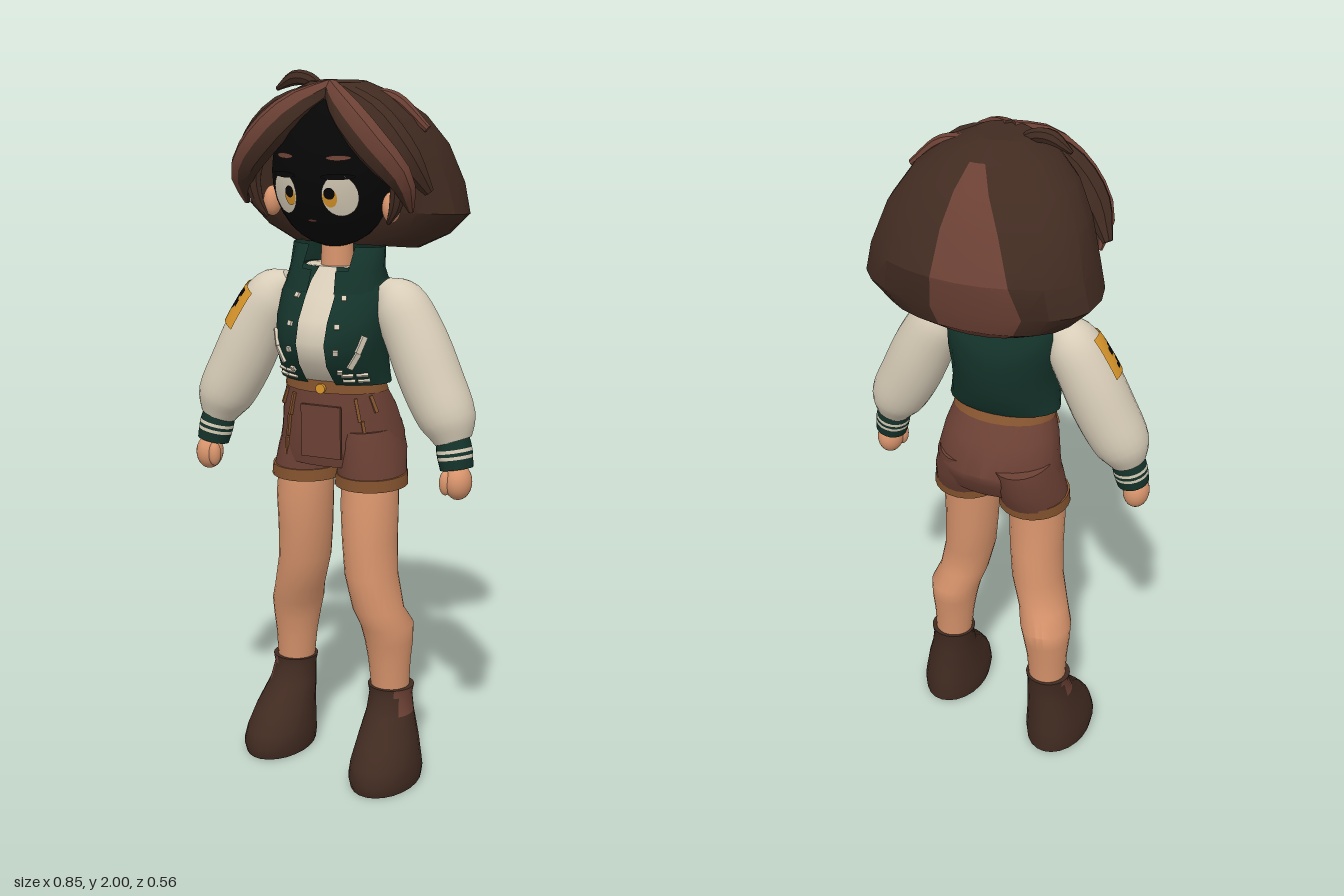
import * as THREE from 'three';
import { toCreasedNormals } from 'three/addons/utils/BufferGeometryUtils.js';

const paint = (name, color, side = THREE.FrontSide) => {
  const m = new THREE.MeshStandardMaterial({ color, side });
  m.name = name;
  return m;
};
const V = (x, y, z) => new THREE.Vector3(x, y, z);

// Skin a list of rings; pick(i, j) gives the material index of a cell, or -1 for a gap
function loft(name, rings, mats, { pick = () => 0, cap = true, crease = 0.8 } = {}) {
  const list = [].concat(mats), n = rings[0].length, pts = rings.flat();
  const faces = list.map(() => []);
  for (let i = 0; i < rings.length - 1; i++) for (let j = 0; j < n; j++) {
    const k = pick(i, j);
    if (k < 0) continue;
    const a = i * n + j, b = i * n + (j + 1) % n;
    faces[k].push(a, a + n, b, b, a + n, b + n);
  }
  if (cap) for (const end of [0, rings.length - 1]) {
    const c = pts.length;
    pts.push(rings[end].reduce((s, p) => s.add(p), V(0, 0, 0)).divideScalar(n));
    for (let j = 0; j < n; j++) {
      const a = end * n + j, b = end * n + (j + 1) % n;
      faces[0].push(c, ...(end ? [b, a] : [a, b]));
    }
  }
  let geo = new THREE.BufferGeometry().setFromPoints(pts);
  geo.setIndex(faces.flat());
  let start = 0;
  faces.forEach((f, k) => { geo.addGroup(start, f.length, k); start += f.length; });
  geo = toCreasedNormals(geo, crease);
  const mesh = new THREE.Mesh(geo, list.length > 1 ? list : list[0]);
  mesh.name = name;
  return mesh;
}

// Horizontal rings from levels [y, centreX, radiusX, zFront, zBack, tilt]; power below 1 squares them off
const stackRings = (levels, power = 1) => levels.map(([y, cx, rx, zf, zb, tilt = 0]) =>
  Array.from({ length: 24 }, (_, j) => {
    const a = j / 24 * Math.PI * 2, s = Math.sin(a);
    const z = (zf + zb) / 2 + (zf - zb) / 2 * Math.sign(s) * Math.abs(s) ** power;
    return V(cx + rx * Math.cos(a), y + tilt * z, z);
  }));
const stack = (name, levels, mats, opts) => loft(name, stackRings(levels), mats, opts);

// Rings along a curve through [x, y, z, radiusN, radiusB]
function tubeRings(pts, { segs = 14, sides = 16, hint = V(1, 0, 0), t0 = 0, t1 = 1, grow = 0 } = {}) {
  const path = new THREE.CatmullRomCurve3(pts.map(p => V(p[0], p[1], p[2])));
  const size = new THREE.CatmullRomCurve3(pts.map(p => V(p[3], p[4] ?? p[3], p[1])));
  return Array.from({ length: segs + 1 }, (_, i) => {
    const t = t0 + (t1 - t0) * i / segs, c = path.getPoint(t), T = path.getTangent(t), r = size.getPoint(t);
    const N = hint.clone().addScaledVector(T, -hint.dot(T)).normalize(), B = N.clone().cross(T);
    return Array.from({ length: sides }, (_, j) => {
      const a = j / sides * Math.PI * 2;
      return c.clone().addScaledVector(N, (r.x + grow) * Math.cos(a)).addScaledVector(B, (r.y + grow) * Math.sin(a));
    });
  });
}
const tube = (name, pts, mats, opts = {}) => loft(name, tubeRings(pts, opts), mats, opts);

function ball(name, mat, [x, y, z], [rx, ry, rz]) {
  const m = new THREE.Mesh(new THREE.SphereGeometry(1, 24, 16), mat);
  m.position.set(x, y, z);
  m.scale.set(rx, ry, rz);
  m.name = name;
  return m;
}

// Thin plate lying on the front of a stack of levels
function plate(name, mat, levels, x, y, w, h, rot = 0) {
  const at = yy => {
    let i = 0;
    while (i < levels.length - 2 && levels[i + 1][0] < yy) i++;
    const f = (yy - levels[i][0]) / (levels[i + 1][0] - levels[i][0]);
    const [, cx, rx, zf, zb] = levels[i].map((v, k) => v + (levels[i + 1][k] - v) * f);
    const rz = (zf - zb) / 2, u = (x - cx) / rx, s = Math.sqrt(Math.max(0, 1 - u * u));
    return { z: (zf + zb) / 2 + rz * s, yaw: Math.atan2(u / rx, s / rz) };
  };
  const p = at(y), slope = (at(y + 0.01).z - at(y - 0.01).z) / 0.02;
  const m = new THREE.Mesh(new THREE.BoxGeometry(w, h, 0.009), mat);
  m.position.set(x, y, p.z + 0.002);
  m.rotation.set(Math.atan(slope), p.yaw, rot, 'YXZ');
  m.name = name;
  return m;
}

export function createModel() {
  const skin = paint('skin', 0xd8946c), black = paint('black', 0x060606, THREE.DoubleSide);
  const dark = paint('darkBrown', 0x412b21), russet = paint('russet', 0x6b4034);
  const green = paint('green', 0x14332a, THREE.DoubleSide), cream = paint('cream', 0xd8cdb8);
  const gold = paint('gold', 0xd9962b, THREE.DoubleSide), tan = paint('tan', 0x85542f);
  const g = new THREE.Group();
  g.name = 'figure';

  // Legs and boots: the left foot stands ahead of the right
  const legLevels = [[0.24, 0.175, 0.054, 0.115, 0.008], [0.34, 0.172, 0.061, 0.125, 0], [0.4, 0.17, 0.069, 0.137, -0.012],
    [0.45, 0.165, 0.075, 0.15, -0.018], [0.5, 0.146, 0.073, 0.163, 0.008], [0.6, 0.122, 0.075, 0.166, -0.004],
    [0.7, 0.114, 0.078, 0.162, -0.014], [0.8, 0.11, 0.082, 0.155, -0.02], [0.89, 0.106, 0.08, 0.14, -0.03]];
  const bootLevels = [[0, 0.193, 0.093, 0.275, -0.01], [0.03, 0.193, 0.098, 0.284, -0.012], [0.07, 0.191, 0.093, 0.27, -0.01],
    [0.12, 0.188, 0.084, 0.225, -0.005], [0.19, 0.18, 0.068, 0.148, 0], [0.24, 0.177, 0.062, 0.126, 0], [0.265, 0.177, 0.067, 0.128, -0.004]];
  const cuffLevels = [[0.856, 0.106, 0.103, 0.156, -0.066], [0.89, 0.106, 0.1, 0.156, -0.07]];
  const shortLegLevels = [[0.87, 0.106, 0.098, 0.152, -0.064], [0.95, 0.099, 0.092, 0.15, -0.105], [1.02, 0.085, 0.085, 0.14, -0.115]];
  for (const s of [1, -1]) {
    const side = s > 0 ? 'left' : 'right';
    const place = levels => levels.map(([y, cx, rx, zf, zb]) => {
      const dz = s > 0 ? 0 : -0.1 + 0.07 * THREE.MathUtils.clamp((y - 0.45) / 0.4, 0, 1);
      return [y, cx * s, rx, zf + dz, zb + dz];
    });
    g.add(stack(side + 'Leg', place(legLevels), skin));
    g.add(stack(side + 'Boot', place(bootLevels), [dark, russet], {
      pick: (i, j) => {
        const k = Math.abs((s > 0 ? (j + 12) % 24 : j) - 11.5 - s);
        return +((i === 5 && k < 3) || (i === 4 && k < 2));
      } }));
    g.add(stack(side + 'ShortsCuff', place(cuffLevels), tan));
    g.add(stack(side + 'ShortsLeg', place(shortLegLevels), russet));
  }

  // Shorts with waistband, button and side trim
  const shorts = [[0.915, 0, 0.186, 0.14, -0.1], [0.97, 0, 0.184, 0.151, -0.135], [1.0, 0, 0.18, 0.152, -0.143],
    [1.08, 0, 0.166, 0.154, -0.095], [1.16, 0, 0.14, 0.145, -0.03]];
  g.add(stack('shorts', shorts, russet));
  g.add(stack('waistband', [[1.13, 0, 0.152, 0.154, -0.055], [1.165, 0, 0.144, 0.152, -0.036]], tan));
  const button = new THREE.Mesh(new THREE.CylinderGeometry(0.014, 0.014, 0.012, 16).rotateX(Math.PI / 2), gold);
  button.position.set(0, 1.143, 0.156);
  button.name = 'waistButton';
  g.add(button, plate('shortsFly', russet, shorts, 0, 1.02, 0.12, 0.15));
  for (const s of [1, -1]) {
    for (const [x, y] of [[0.1, 1.085], [0.116, 1.02], [0.126, 0.95]]) g.add(plate('shortsTrim', tan, shorts, s * x, y, 0.009, 0.066, s * 0.18));
    g.add(plate('beltLoop', tan, shorts, s * 0.135, 1.1, 0.01, 0.05, s * 0.3));
  }

  // Shirt, and the open jacket over it
  const jacket = [[1.155, 0, 0.164, 0.15, -0.045], [1.175, 0, 0.16, 0.172, -0.058], [1.22, 0, 0.157, 0.213, -0.075],
    [1.28, 0, 0.16, 0.233, -0.09], [1.34, 0, 0.165, 0.212, -0.097], [1.4, 0, 0.165, 0.165, -0.088],
    [1.44, 0, 0.15, 0.135, -0.06], [1.475, 0, 0.1, 0.11, -0.03]];
  const shirt = jacket.map(([y, cx, rx, zf, zb]) => [y, cx, rx - 0.012, zf - 0.008, zb + 0.012]);
  g.add(stack('shirt', shirt, cream));
  g.add(stack('jacket', jacket, green, { cap: false, pick: (i, j) => (j === 5 || j === 6 ? -1 : 0) }));
  g.add(stack('collar', [[1.41, 0, 0.155, 0.162, -0.082], [1.47, 0, 0.138, 0.14, -0.055], [1.53, 0, 0.138, 0.088, -0.025]], green,
    { cap: false, pick: (i, j) => (j > 4 - i && j < 7 + i ? -1 : 0) }));
  for (const s of [1, -1]) {
    for (const y of [1.4, 1.33, 1.26, 1.2]) g.add(plate('snap', cream, jacket, s * 0.07, y, 0.014, 0.014));
    for (const [x, y] of [[0.128, 1.28], [0.11, 1.235]]) g.add(plate('pocketEdge', cream, jacket, s * x, y, 0.016, 0.05, -s * 0.45));
    for (const x of [0.085, 0.12]) for (const y of [1.172, 1.19]) g.add(plate('hemStripe', cream, jacket, s * x, y, 0.034, 0.006));
  }

  // Arms: sleeve, striped cuff, hand
  for (const s of [1, -1]) {
    const side = s > 0 ? 'left' : 'right';
    const sleeve = [[0.14, 1.425, 0.05, 0.03], [0.185, 1.385, 0.053, 0.072], [0.235, 1.3, 0.057, 0.085],
      [0.295, 1.17, 0.065, 0.088], [0.345, 1.07, 0.073, 0.079], [0.364, 1.015, 0.078, 0.052]].map(([x, ...r]) => [x * s, ...r]);
    g.add(tube(side + 'Sleeve', sleeve, cream, { segs: 20, sides: 24 }));
    const cuff = [[0.359, 1.03, 0.077, 0.046], [0.369, 0.985, 0.082, 0.05], [0.378, 0.94, 0.087, 0.046]].map(([x, ...r]) => [x * s, ...r]);
    g.add(tube(side + 'Cuff', cuff, [green, cream], { segs: 10, sides: 20, pick: i => +(i === 4 || i === 6) }));
    g.add(ball(side + 'Hand', skin, [s * 0.386, 0.905, 0.095], [0.038, 0.05, 0.044]));
    g.add(ball(side + 'Thumb', skin, [s * 0.358, 0.905, 0.118], [0.018, 0.035, 0.02]));
    if (s < 0) {
      // Sleeve patch with a zigzag bolt: first column and width of each row
      const bolt = [[0, 0], [28, 2], [27, 3], [26, 3], [25, 5], [25, 5], [27, 2], [26, 2], [25, 2], [0, 0]];
      const patch = { segs: 10, sides: 48, t0: 0.25, t1: 0.46, grow: 0.004 };
      g.add(tube('sleevePatch', sleeve, [gold, black], { ...patch, cap: false,
        pick: (i, j) => (j < 22 || j > 32 ? -1 : +(j >= bolt[i][0] && j < bolt[i][0] + bolt[i][1])) }));
    }
  }

  // Head, neck and ears
  const neck = new THREE.Mesh(new THREE.CylinderGeometry(0.042, 0.05, 0.2, 20), skin);
  neck.position.set(0, 1.49, 0.045);
  neck.name = 'neck';
  g.add(neck, ball('face', black, [0, 1.735, 0.06], [0.172, 0.208, 0.172]));
  for (const s of [1, -1]) g.add(ball('ear', skin, [s * 0.178, 1.645, 0.085], [0.025, 0.042, 0.03]));

  // Face details laid on the curve of the face
  const decal = (name, mat, x, y, rx, ry, lift) => {
    const geo = new THREE.CircleGeometry(1, 24).scale(rx, ry, 1).translate(x, y, 0), p = geo.attributes.position;
    for (let i = 0; i < p.count; i++) {
      const u = p.getX(i) / 0.172, v = (p.getY(i) - 1.735) / 0.208;
      p.setZ(i, 0.06 + 0.172 * Math.sqrt(Math.max(0, 1 - u * u - v * v)) + lift);
    }
    geo.computeVertexNormals();
    const m = new THREE.Mesh(geo, mat);
    m.name = name;
    g.add(m);
  };
  for (const s of [1, -1]) {
    decal('eyeWhite', cream, s * 0.08, 1.685, 0.043, 0.056, 0.004);
    decal('iris', gold, s * 0.058, 1.68, 0.018, 0.026, 0.006);
    decal('pupil', black, s * 0.058, 1.692, 0.014, 0.016, 0.008);
    decal('eyelash', black, s * 0.078, 1.736, 0.042, 0.008, 0.006);
    decal('eyebrow', russet, s * 0.078, 1.785, 0.03, 0.007, 0.005);
  }
  decal('mouth', russet, 0, 1.615, 0.014, 0.004, 0.005);

  // Hair: faceted bob with a lighter band down the back, narrowing towards the crown
  const bob = stackRings([[1.57, 0, 0.12, 0.0, -0.15, 0.15], [1.525, 0, 0.18, 0.025, -0.2, 0.15], [1.565, 0, 0.265, 0.05, -0.25, 0.12],
    [1.622, 0, 0.325, 0.07, -0.27, 0.1], [1.7, 0, 0.306, 0.085, -0.28, 0.05], [1.8, 0, 0.272, 0.1, -0.228],
    [1.88, 0, 0.222, 0.12, -0.165], [1.935, 0, 0.155, 0.125, -0.1], [1.972, 0, 0.075, 0.1, -0.03]], 0.78);
  [0.1, 0.25, 0.45, 0.65, 0.8].forEach((f, i) => {
    for (const j of [16, 17, 18]) bob[i + 4][j].lerp(bob[i + 4][19], f);
  });
  g.add(loft('hairBob', bob, [dark, russet], { crease: 0.45, pick: (i, j) => +(i > 0 && i < 7 && j >= 16 && j <= 18) }));

  // Bangs, side locks and loose strands
  const lock = (name, pts, mats = dark, pick) => g.add(tube(name, pts, mats, { hint: V(0, 0, 1), sides: 8, segs: 10, crease: 0.6, pick }));
  for (const s of [1, -1]) {
    const m = pts => pts.map(([x, ...r]) => [x * s, ...r]);
    lock('bang', m([[0.0, 1.96, 0.085, 0.022, 0.022], [0.075, 1.905, 0.165, 0.03, 0.044], [0.165, 1.815, 0.185, 0.032, 0.05],
      [0.235, 1.725, 0.155, 0.026, 0.038], [0.245, 1.64, 0.11, 0.006, 0.008]]), [dark, russet],
      (i, j) => +(s > 0 ? j < 4 : j > 3));
    lock('outerBang', m([[0.03, 1.945, 0.08, 0.025, 0.03], [0.14, 1.885, 0.115, 0.038, 0.045], [0.225, 1.785, 0.11, 0.042, 0.045],
      [0.28, 1.69, 0.07, 0.015, 0.015]]));
    lock('sideLock', m([[0.19, 1.8, 0.12, 0.022, 0.022], [0.215, 1.72, 0.13, 0.022, 0.024], [0.205, 1.65, 0.125, 0.015, 0.018],
      [0.18, 1.605, 0.115, 0.004, 0.005]]));
  }
  lock('crownStrand', [[0.085, 1.945, 0.015, 0.018, 0.012], [0.16, 1.93, 0.013, 0.022, 0.016], [0.25, 1.85, 0.01, 0.01, 0.012]], russet);
  lock('topCurl', [[-0.045, 1.93, 0.045, 0.016], [-0.075, 1.968, 0.038, 0.019], [-0.13, 1.977, 0.033, 0.021],
    [-0.19, 1.945, 0.028, 0.006]], dark);
  return g;
}
